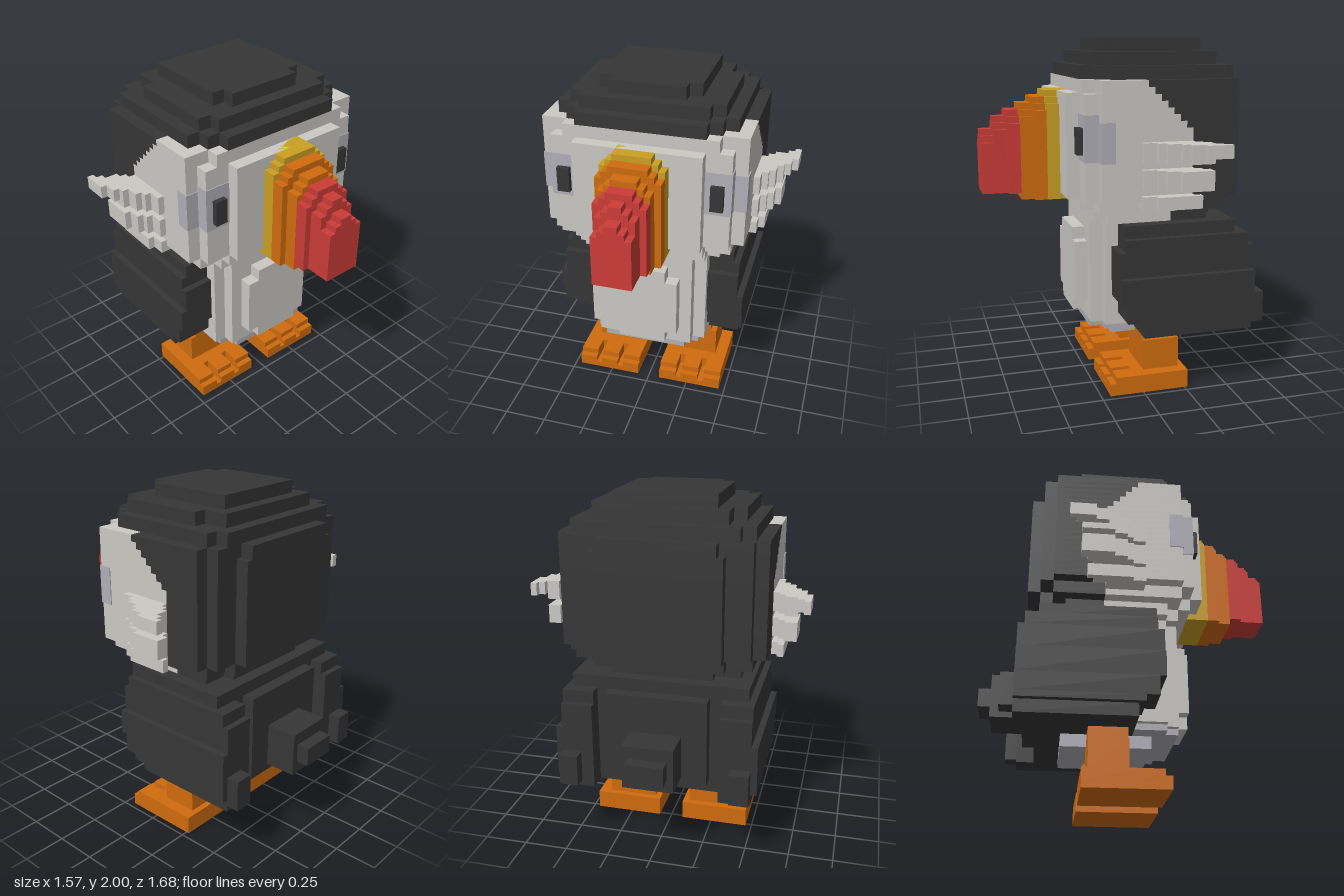
import * as THREE from 'three';
import { mergeGeometries } from 'three/addons/utils/BufferGeometryUtils.js';

const U = 2 / 56;   // edge of one block
const Z0 = 23.5;    // block index of z = 0, counted forward from the tail tip

const mat = (name, hex) => {
  const m = new THREE.MeshStandardMaterial({ color: hex });
  m.name = name;
  return m;
};

// Box in block units: x, y, z ranges
function block(x0, x1, y0, y1, z0, z1) {
  const g = new THREE.BoxGeometry((x1 - x0) * U, (y1 - y0) * U, (z1 - z0) * U);
  return g.translate((x0 + x1) / 2 * U, (y0 + y1) / 2 * U, ((z0 + z1) / 2 - Z0) * U);
}
// Box centred on x = 0 with half width w
const mid = (w, y0, y1, z0, z1) => block(-w, w, y0, y1, z0, z1);

export function createModel() {
  const model = new THREE.Group();
  const black = mat('black feathers', 0x363636);
  const white = mat('white feathers', 0xcbc9c4);
  const grey = mat('lavender grey', 0xb0afb7);
  const orange = mat('orange', 0xd06c0e);
  const yellow = mat('yellow', 0xcaa023);
  const red = mat('red', 0xcc3c37);

  const add = (name, material, boxes) => {
    const mesh = new THREE.Mesh(mergeGeometries(boxes), material);
    mesh.name = name;
    model.add(mesh);
  };
  // Same part on both sides; boxes are given as ranges for the left (+x)
  const addPair = (name, material, ranges) => {
    add(name + 'Left', material, ranges.map((r) => block(...r)));
    add(name + 'Right', material, ranges.map(([a, b, ...r]) => block(-b, -a, ...r)));
  };

  // Head: layers [y0, y1, strips of [z0, z1, half width]]
  const layers = [
    [54, 56, [[13, 27, 8], [27, 29, 6]]],
    [52, 54, [[11, 15, 10], [15, 29, 12], [29, 31, 10]]],
    [50, 52, [[9, 11, 12], [11, 29, 14], [29, 31, 12], [31, 33, 10]]],
    [48, 50, [[7, 9, 9], [9, 11, 14], [11, 31, 16], [31, 33, 12]]],
    [32, 48, [[7, 9, 10], [9, 11, 14], [11, 31, 16], [31, 33, 14], [33, 35, 10]]],
    [30, 32, [[9, 11, 10], [11, 31, 14], [31, 33, 10]]],
    [28, 30, [[11, 13, 8], [13, 29, 12], [29, 31, 10]]],
  ];
  // Where the white face ends and the black hood begins, per row
  const hoodEdge = (y) => {
    if (y >= 50) return 99;
    if (y < 32) return 19;
    return Math.min(24, Math.max(17, y - 25));
  };
  const hood = [], face = [];
  for (const [y0, y1, strips] of layers) {
    for (let y = y0; y < y1; y++) {
      const edge = hoodEdge(y);
      for (const [z0, z1, w] of strips) {
        if (z0 < edge) hood.push(mid(w, y, y + 1, z0, Math.min(z1, edge)));
        if (z1 > edge) face.push(mid(w, y, y + 1, Math.max(z0, edge), z1));
      }
    }
  }
  add('hood', black, hood);
  add('face', white, face);

  // Eyes and the thin grey patches around them
  addPair('eye', black, [[11, 13, 39, 43, 33, 34]]);
  addPair('eyePatch', grey, [
    [10, 14.15, 38, 45, 31, 33.15],
    [14, 16.15, 38, 44, 29, 31.15],
  ]);

  // Cheek tufts sweeping outwards and back
  const tufts = [];
  for (const [y0, y1, length] of [[39, 41, 6], [38, 39, 4], [34, 37, 4], [31, 33, 2]]) {
    for (let i = 0; i < length; i++) {
      tufts.push([16 + i, 17 + i, y0, y1, Math.round(17 - 0.8 * i), Math.round(25 - 1.6 * i)]);
    }
  }
  tufts.push([14, 16, 31, 32, 19, 25]);
  addPair('cheekTuft', white, tufts);

  // Beak: bands with a stepped arch on top
  const arch = (w, y0, y1, z0, z1) => [
    mid(w, y0, y1 - 2, z0, z1),
    mid(w - 1, y0, y1 - 1, z0, z1),
    mid(w - 2, y0, y1, z0, z1),
  ];
  add('beakBase', yellow, arch(5, 31, 48, 33, 37));
  add('beakMiddle', orange, [...arch(5, 31, 47, 37, 39), ...arch(4, 31, 46, 39, 41)]);
  add('beakTip', red, [
    ...arch(4, 32, 45, 41, 43), ...arch(3, 32, 44, 43, 45), ...arch(3, 32, 42, 45, 47),
  ]);

  // Body, breast and underside
  add('back', black, [mid(10, 10, 28, 9, 24), mid(8, 12, 26, 7, 9)]);
  add('breast', white, [
    mid(10, 11, 28, 24, 29), mid(8, 11, 28, 29, 31),
    mid(6, 14, 24, 31, 33), mid(4, 12, 26, 31, 33),
  ]);
  add('underside', grey, [mid(6, 8, 10, 13, 27), mid(9, 10, 11, 24, 29), mid(7, 10, 11, 29, 31)]);
  add('tail', black, [mid(4, 13, 20, 2, 7), mid(3, 15, 18, 0, 2)]);

  // Wings
  addPair('wing', black, [
    [10, 14, 26, 28, 9, 27],
    [10, 15, 24, 26, 7, 27],
    [10, 15, 20, 24, 6, 28],
    [10, 16, 16, 20, 6, 28],
    [10, 16, 13, 16, 6, 27],
    [10, 16, 12, 13, 6, 25],
    [10, 15, 10, 12, 6, 24],
    [12, 15, 11, 16, 4, 6],
  ]);

  // Legs and feet with three toes each
  addPair('leg', orange, [[3, 11, 3, 8, 17, 23], [6, 10, 8, 10, 17, 23]]);
  const foot = [[2, 13, 0, 1, 16, 29], [2, 13, 1, 3, 16, 25]];
  for (const x of [2, 6, 10]) {
    foot.push([x, x + 3, 1, 3, 25, 28], [x, x + 3, 1, 2, 28, 29]);
  }
  addPair('foot', orange, foot);

  return model;
}
